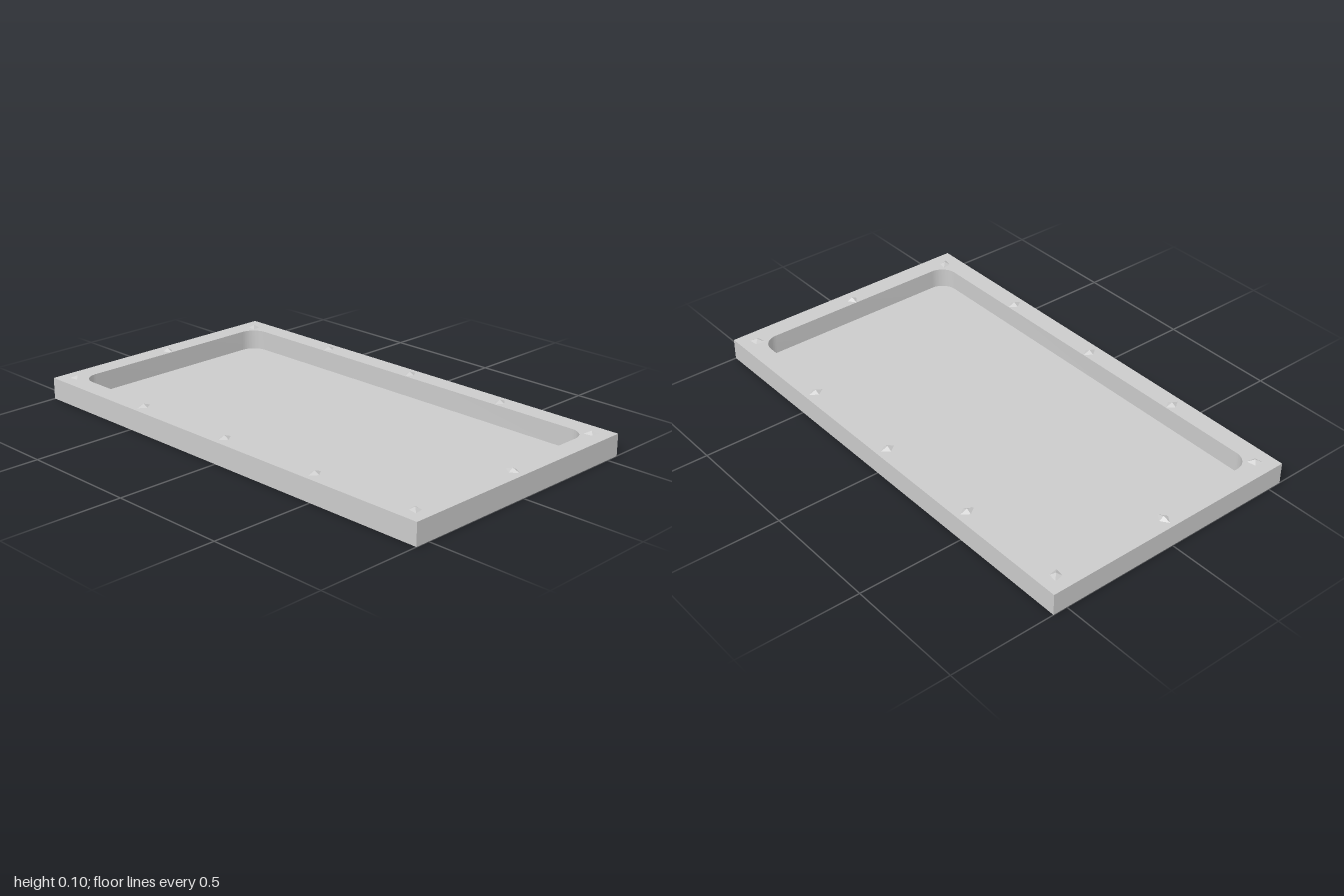
import * as THREE from 'three';
import { toCreasedNormals } from 'three/addons/utils/BufferGeometryUtils.js';

const W = 2, D = 1.12, TOP = 0.09, FLOOR = 0.006;

// Rounded rectangle outline for the recess
function roundedRect(path, hx, hz, r) {
  path.moveTo(hx, -hz + r);
  path.absarc(hx - r, hz - r, r, 0, Math.PI / 2);
  path.absarc(-hx + r, hz - r, r, Math.PI / 2, Math.PI);
  path.absarc(-hx + r, -hz + r, r, Math.PI, Math.PI * 1.5);
  path.absarc(hx - r, -hz + r, r, Math.PI * 1.5, Math.PI * 2);
  path.closePath();
  return path;
}

export function createModel() {
  const model = new THREE.Group();
  model.name = 'tray';
  const material = new THREE.MeshStandardMaterial({ color: 0xcccccc });
  const studMaterial = new THREE.MeshStandardMaterial({ color: 0xcccccc, flatShading: true });

  // Thin floor under the whole tray
  const floor = new THREE.Mesh(new THREE.BoxGeometry(W, FLOOR, D), material);
  floor.name = 'floor';
  floor.position.y = FLOOR / 2;
  model.add(floor);

  // Rectangular frame with a round-cornered opening
  const outline = new THREE.Shape([
    new THREE.Vector2(-W / 2, -D / 2), new THREE.Vector2(W / 2, -D / 2),
    new THREE.Vector2(W / 2, D / 2), new THREE.Vector2(-W / 2, D / 2),
  ]);
  outline.holes.push(roundedRect(new THREE.Path(), 0.917, 0.478, 0.07));
  const frameGeometry = new THREE.ExtrudeGeometry(outline, {
    depth: TOP - FLOOR, bevelEnabled: false, curveSegments: 12,
  });
  frameGeometry.rotateX(-Math.PI / 2);
  frameGeometry.translate(0, FLOOR, 0);
  const frame = new THREE.Mesh(toCreasedNormals(frameGeometry, 0.6), material);
  frame.name = 'frame';
  model.add(frame);

  // Low diamond studs, long axis pointing across the rim
  const studGeometry = new THREE.ConeGeometry(1, 0.012, 4);
  studGeometry.scale(0.031, 1, 0.022);
  studGeometry.translate(0, 0.006, 0);
  function addStud(x, z, angle) {
    const stud = new THREE.Mesh(studGeometry, studMaterial);
    stud.name = 'stud';
    stud.position.set(x, TOP, z);
    stud.rotation.y = angle;
    model.add(stud);
  }
  for (const s of [-1, 1]) {
    for (const x of [-0.475, 0, 0.475]) addStud(x, s * 0.51, Math.PI / 2);
    addStud(s * 0.948, 0, 0);
    for (const t of [-1, 1]) addStud(s * 0.93, t * 0.49, -s * t * Math.PI / 4);
  }
  return model;
}
